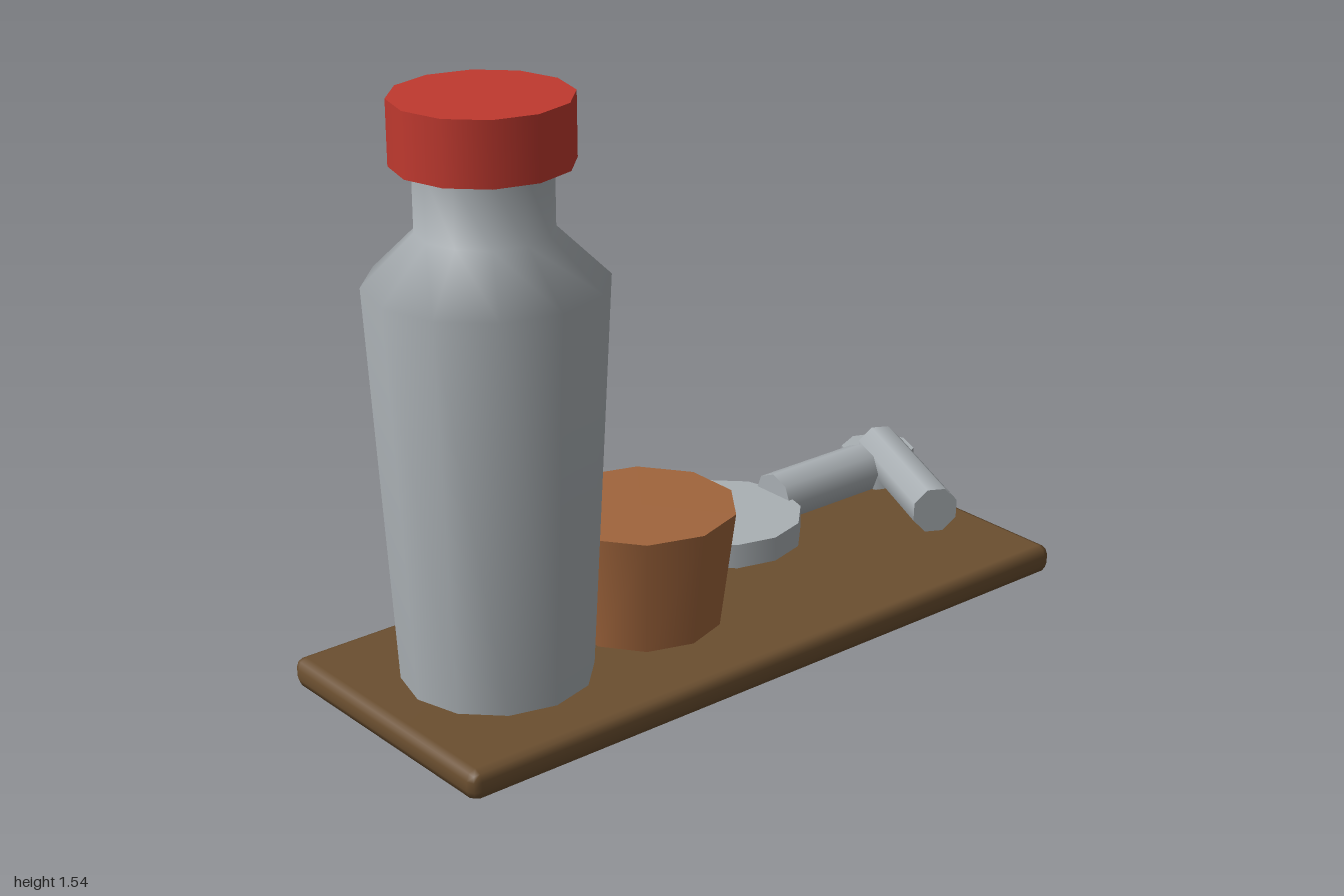
import * as THREE from 'three';
import { mergeVertices } from 'three/addons/utils/BufferGeometryUtils.js';
import { RoundedBoxGeometry } from 'three/addons/geometries/RoundedBoxGeometry.js';

function material(name, color) {
  const m = new THREE.MeshStandardMaterial({ color });
  m.name = name;
  return m;
}

export function createModel() {
  const steel = material('steel', 0xaab0b4);
  const red = material('red', 0xc0392f);
  const copper = material('copper', 0xa0653c);
  const wood = material('wood', 0x6b4f30);

  const group = new THREE.Group();
  group.name = 'barSet';

  function add(parent, name, geometry, mat, x = 0, y = 0, z = 0) {
    const mesh = new THREE.Mesh(geometry, mat);
    mesh.name = name;
    mesh.position.set(x, y, z);
    parent.add(mesh);
    return mesh;
  }

  function part(name, x, z) {
    const g = new THREE.Group();
    g.name = name;
    g.position.set(x, 0, z);
    group.add(g);
    return g;
  }

  // Upright cylinder from y0 to y1
  function upright(parent, name, mat, rBottom, rTop, y0, y1, sides) {
    const geo = new THREE.CylinderGeometry(rTop, rBottom, y1 - y0, sides);
    return add(parent, name, geo, mat, 0, (y0 + y1) / 2, 0);
  }

  // Serving board with soft chamfered edges
  const boardBox = new RoundedBoxGeometry(1.93, 0.078, 0.77, 1, 0.026);
  boardBox.deleteAttribute('normal');
  boardBox.deleteAttribute('uv');
  const boardGeo = mergeVertices(boardBox, 1e-4);
  boardGeo.computeVertexNormals();
  add(group, 'board', boardGeo, wood, -0.035, 0.039, 0);

  // Shaker: tapered body, shoulder, neck and cap
  const shaker = part('shaker', -0.647, 0);
  const profile = [[0, 0.075], [0.24, 0.075], [0.295, 1.095], [0.166, 1.222], [0.166, 1.39]]
    .map(([r, y]) => new THREE.Vector2(r, y));
  add(shaker, 'shakerBody', new THREE.LatheGeometry(profile.slice(1), 12), steel);
  upright(shaker, 'shakerCap', red, 0.219, 0.219, 1.385, 1.545, 12);

  // Tapered cup
  const cup = part('cup', -0.188, 0);
  upright(cup, 'cupBody', copper, 0.203, 0.245, 0.075, 0.39, 10);

  // Strainer: disc, shallow cone beneath, and handle
  const strainer = part('strainer', 0.218, -0.16);
  upright(strainer, 'strainerDisc', steel, 0.215, 0.215, 0.13, 0.197, 12);
  upright(strainer, 'strainerCone', steel, 0, 0.21, 0.08, 0.131, 12);
  const handle = add(strainer, 'strainerHandle',
    new THREE.CylinderGeometry(0.07, 0.07, 0.33, 8), steel, 0.35, 0.183, -0.003);
  handle.rotation.z = Math.PI / 2;

  // Muddler: round foot with a slanted shaft lying across it
  const muddler = part('muddler', 0.895, -0.265);
  upright(muddler, 'muddlerFoot', steel, 0.103, 0.103, 0.078, 0.168, 8);
  const start = new THREE.Vector3(-0.19, 0.17, 0.425);
  const end = new THREE.Vector3(0, 0.17, 0.005);
  const axis = end.clone().sub(start);
  const shaft = add(muddler, 'muddlerShaft',
    new THREE.CylinderGeometry(0.066, 0.066, axis.length(), 8), steel);
  shaft.position.addVectors(start, end).multiplyScalar(0.5);
  shaft.quaternion.setFromUnitVectors(new THREE.Vector3(0, 1, 0), axis.normalize());

  return group;
}
